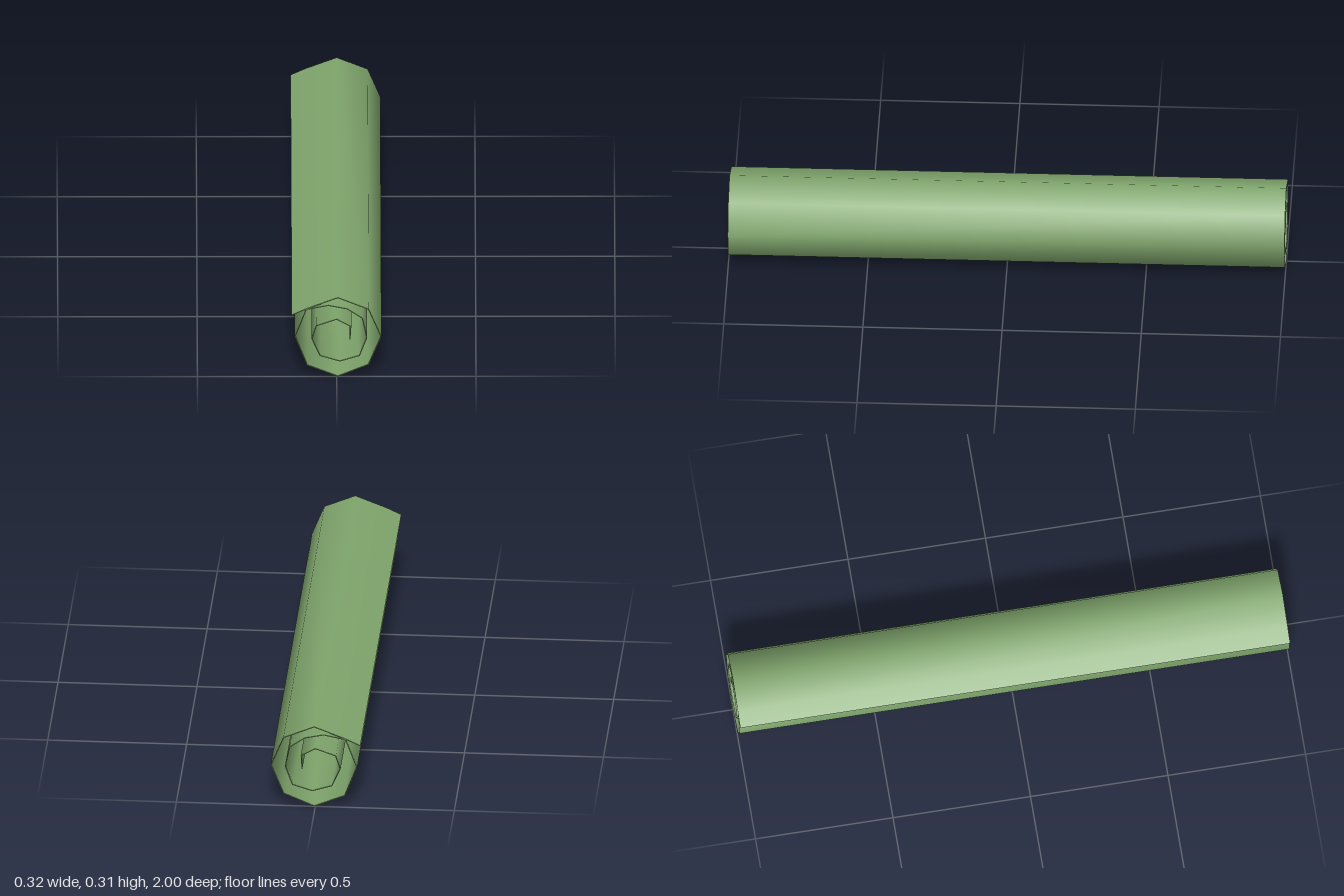
import * as THREE from 'three';
import { mergeGeometries } from 'three/addons/utils/BufferGeometryUtils.js';

// Spiral cross-section of the rolled sheet, from the loose flap to the core
const SPIRAL = [
  [-0.161, 0.245], [-0.108, 0.270], [0.004, 0.3135], [0.114, 0.268], [0.159, 0.159],
  [0.114, 0.049], [0.004, 0.0025], [-0.106, 0.047], [-0.149, 0.159], [-0.109, 0.267],
  [-0.030, 0.283], [0.038, 0.269], [0.092, 0.232], [0.108, 0.154], [0.082, 0.084],
  [0.011, 0.062], [-0.060, 0.084], [-0.089, 0.150], [-0.073, 0.202], [0.000, 0.228],
  [0.051, 0.199], [0.048, 0.147],
].map(([x, y]) => new THREE.Vector2(x, y));

const THICKNESS = 0.003;
const HALF_LENGTH = 1;

// Path shifted sideways, mitred at each bend
function offsetPath(points, distance) {
  const normals = points.slice(1).map((p, i) => {
    const d = p.clone().sub(points[i]).normalize();
    return new THREE.Vector2(-d.y, d.x);
  });
  return points.map((p, i) => {
    const before = normals[Math.max(i - 1, 0)];
    const after = normals[Math.min(i, normals.length - 1)];
    const mitre = before.clone().add(after).normalize();
    return p.clone().addScaledVector(mitre, distance / mitre.dot(after));
  });
}

// Smooth ribbon of quads between two rows of points
function strip(rowA, rowB) {
  const n = rowA.length;
  const index = [];
  for (let i = 0; i < n - 1; i++) {
    index.push(i, i + 1, n + i, i + 1, n + i + 1, n + i);
  }
  const geometry = new THREE.BufferGeometry().setFromPoints([...rowA, ...rowB]);
  geometry.setIndex(index);
  geometry.computeVertexNormals();
  return geometry;
}

export function createModel() {
  const group = new THREE.Group();
  group.name = 'rolledMat';

  const at = (path, z) => path.map((p) => new THREE.Vector3(p.x, p.y, z));
  const outer = offsetPath(SPIRAL, THICKNESS / 2);
  const inner = offsetPath(SPIRAL, -THICKNESS / 2);
  const outerFront = at(outer, HALF_LENGTH);
  const outerBack = at(outer, -HALF_LENGTH);
  const innerFront = at(inner, HALF_LENGTH);
  const innerBack = at(inner, -HALF_LENGTH);
  const last = SPIRAL.length - 1;

  const geometry = mergeGeometries([
    strip(outerFront, outerBack), // outer face
    strip(innerBack, innerFront), // inner face
    strip(innerFront, outerFront), // front rim
    strip(outerBack, innerBack), // back rim
    strip([outerFront[0], outerBack[0]], [innerFront[0], innerBack[0]]), // flap edge
    strip([innerFront[last], innerBack[last]], [outerFront[last], outerBack[last]]), // core edge
  ]);

  const sheet = new THREE.Mesh(geometry, new THREE.MeshStandardMaterial({ color: 0x7fa56c }));
  sheet.name = 'rolledSheet';
  group.add(sheet);
  return group;
}
